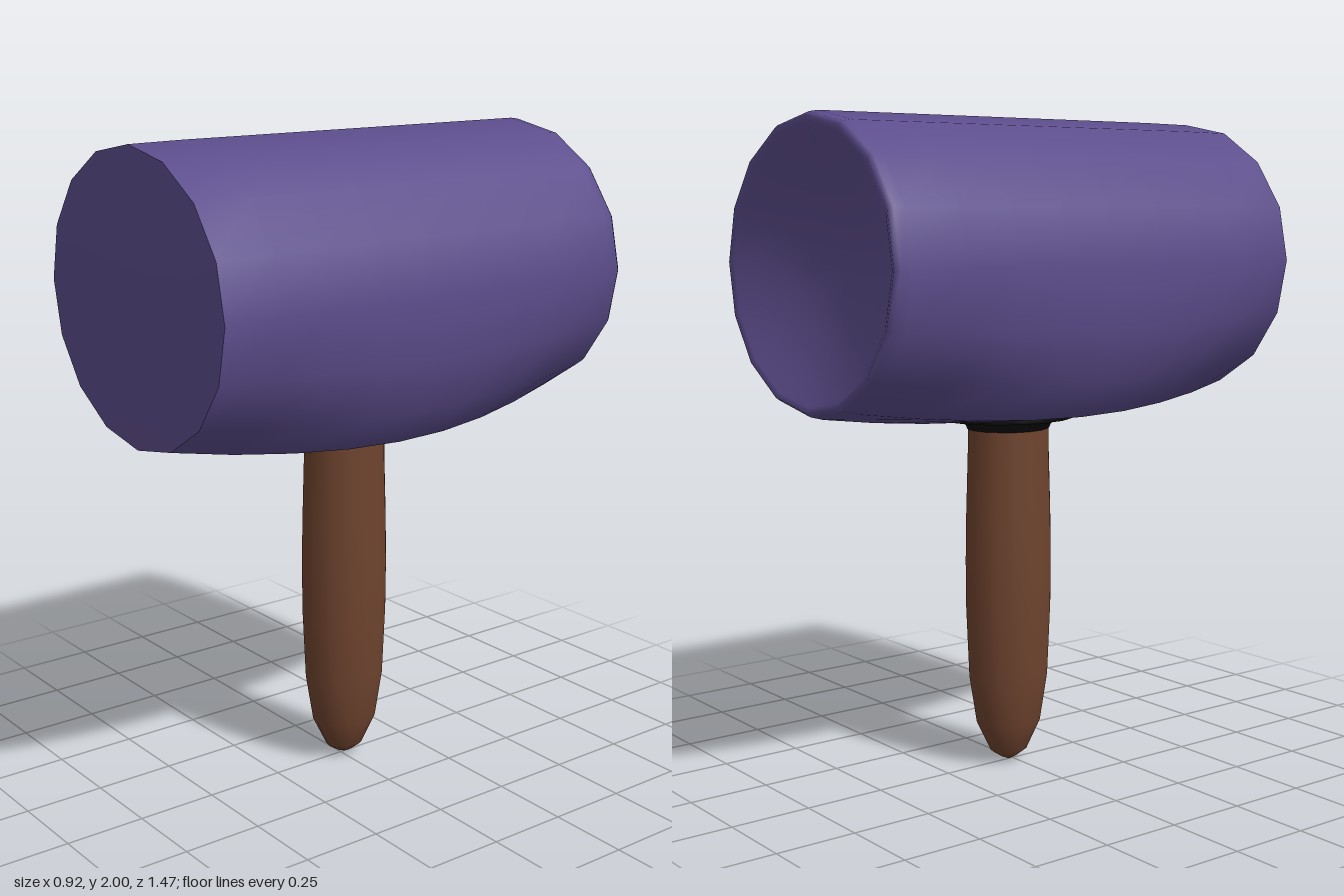
import * as THREE from 'three';
import { mergeVertices } from 'three/addons/utils/BufferGeometryUtils.js';

const SIDES = 16;
const CENTRE_Y = 1.57;

// One ring of the head: round at the ends, fuller and lower near the middle (full = 1).
function section({ z, scale = 1, full = 0, tilt = 0 }) {
  const ring = [];
  for (let i = 0; i < SIDES; i++) {
    const a = (i / SIDES) * Math.PI * 2;
    const s = Math.sin(a), c = Math.cos(a);
    const lower = c < -0.001;
    const spread = lower ? Math.pow(Math.abs(s), 1 - 0.6 * full) * Math.sign(s) : s;
    const height = lower ? 0.43 + 0.057 * full : 0.43;
    const x = Math.abs(s) < 1e-6 ? 0 : 0.46 * scale * spread;
    ring.push([x, CENTRE_Y + height * scale * c, z + tilt * c * scale]);
  }
  return ring;
}

// Skin a list of rings running from front to back.
function skin(rings) {
  const index = [];
  for (let r = 0; r < rings.length - 1; r++) {
    for (let i = 0; i < SIDES; i++) {
      const j = (i + 1) % SIDES;
      const a = r * SIDES + i, b = r * SIDES + j, c = a + SIDES, d = b + SIDES;
      index.push(a, b, c, b, d, c);
    }
  }
  const geometry = new THREE.BufferGeometry();
  geometry.setAttribute('position', new THREE.Float32BufferAttribute(rings.flat(2), 3));
  geometry.setIndex(index);
  const merged = mergeVertices(geometry, 1e-4);
  merged.computeVertexNormals();
  return merged;
}

function addMesh(group, name, geometry, color) {
  const material = new THREE.MeshStandardMaterial({ color });
  const mesh = new THREE.Mesh(geometry, material);
  mesh.name = name;
  group.add(mesh);
  return mesh;
}

const lathe = (profile) =>
  new THREE.LatheGeometry(profile.map(([r, y]) => new THREE.Vector2(r, y)), SIDES);

export function createModel() {
  const group = new THREE.Group();
  group.name = 'mallet';
  const purple = 0x5c4d8c, brown = 0x6e432e, black = 0x0b0b0b;

  // Barrel of the head with a rounded back rim and a hollowed back face
  const rings = [];
  for (let i = 0; i <= 8; i++) {
    const z = 0.72 - (i / 8) * 1.4;
    rings.push(section({ z, full: 1 - (z / 0.72) ** 2, scale: i === 0 ? 0.995 : 1 }));
  }
  rings.push(section({ z: -0.715, scale: 0.99, tilt: 0.006 }));
  rings.push(section({ z: -0.729, scale: 0.965, tilt: 0.007 }));
  rings.push(section({ z: -0.722, scale: 0.925, tilt: 0.006 }));
  for (const t of [0.78, 0.52, 0.26, 0]) {
    rings.push(section({ z: -0.6 - 0.122 * (t / 0.925) ** 2, scale: t }));
  }
  addMesh(group, 'head', skin(rings), purple);

  // Slightly domed striking face at the front
  const dome = [0, 0.35, 0.7, 0.995].map((t) =>
    section({ z: 0.72 + 0.017 * (1 - (t / 0.995) ** 2), scale: t }));
  addMesh(group, 'strikingFace', skin(dome), purple);

  // Oval grip with a rounded tip, running up into the head
  const handle = addMesh(group, 'handle', lathe([
    [0, 0], [0.022, 0.012], [0.05, 0.035], [0.088, 0.13], [0.108, 0.28],
    [0.116, 0.5], [0.117, 0.65], [0.115, 0.8], [0.11, 1.0], [0.109, 1.12],
  ]), brown);

  // Dark flared collar where the grip meets the head
  const collar = addMesh(group, 'collar', lathe([
    [0.107, 1.055], [0.113, 1.06], [0.118, 1.073], [0.135, 1.083], [0.178, 1.09], [0.17, 1.12],
  ]), black);

  handle.scale.z = 1.23;
  collar.scale.z = 1.2;
  handle.position.z = collar.position.z = -0.015;
  return group;
}
